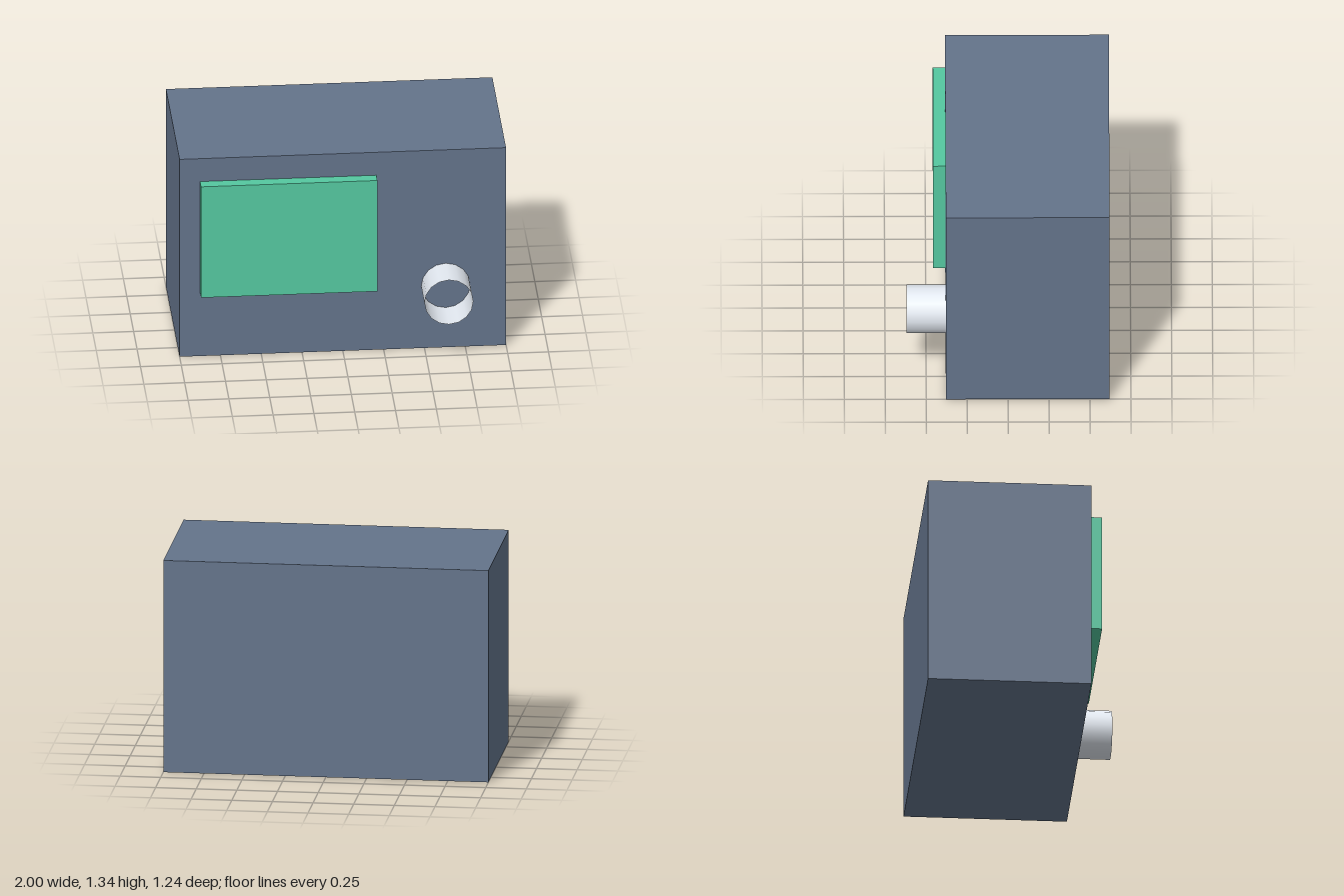
import * as THREE from 'three';

const FRONT_Z = 0.38; // front face of the housing

function part(name, geometry, color, x, y, z, side = THREE.FrontSide) {
  const mesh = new THREE.Mesh(geometry, new THREE.MeshStandardMaterial({ color, side }));
  mesh.name = name;
  mesh.position.set(x, y, z);
  return mesh;
}

export function createModel() {
  const model = new THREE.Group();
  model.name = 'boxWithScreenAndKnob';

  // Main housing
  const height = 1.335;
  model.add(part('housing', new THREE.BoxGeometry(2, height, 1), 0x64748b, 0, height / 2, FRONT_Z - 0.5));

  // Raised screen panel on the front
  const depth = 0.075;
  model.add(part('screen', new THREE.BoxGeometry(1.08, 0.75, depth), 0x55c8a0, -0.335, 0.805, FRONT_Z + depth / 2));

  // Hollow, thin-walled tube facing forward
  const length = 0.24;
  const tube = new THREE.CylinderGeometry(0.15, 0.15, length, 16, 1, true).rotateX(Math.PI / 2);
  model.add(part('tube', tube, 0xe2e8f0, 0.63, 0.418, FRONT_Z + length / 2, THREE.DoubleSide));

  return model;
}
